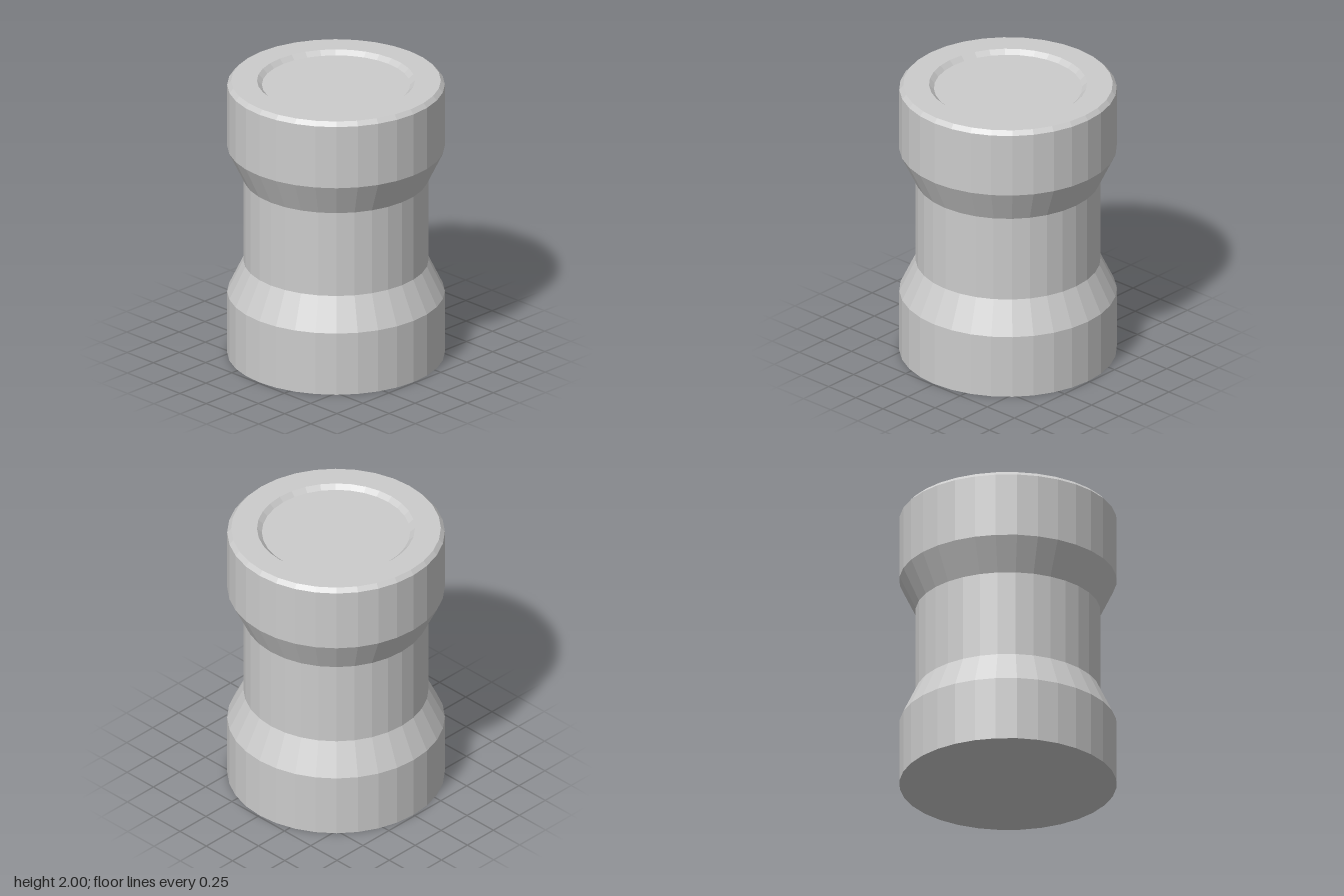
import * as THREE from 'three';

const SIDES = 32;

export function createModel() {
  const group = new THREE.Group();
  group.name = 'spool';
  const material = new THREE.MeshStandardMaterial({ color: 0xcccccc, flatShading: true });

  // Turns a [radius, height] profile, listed from the bottom up, around the y axis
  const turn = (name, profile) => {
    const points = profile.map(([r, y]) => new THREE.Vector2(r, y));
    const mesh = new THREE.Mesh(new THREE.LatheGeometry(points, SIDES), material);
    mesh.name = name;
    group.add(mesh);
  };

  // Solid base drum with its sloped shoulder
  turn('base', [[0, 0], [0.737, 0], [0.737, 0.45], [0.627, 0.68]]);

  // Narrow waist
  turn('waist', [[0.627, 0.68], [0.627, 1.29]]);

  // Flared head with a bevelled rim
  turn('head', [[0.627, 1.29], [0.737, 1.52], [0.737, 1.97], [0.71, 2], [0.535, 2]]);

  // Shallow dish with sloped walls sunk into the top
  turn('topRecess', [[0.535, 2], [0.502, 1.97], [0, 1.97]]);

  return group;
}
